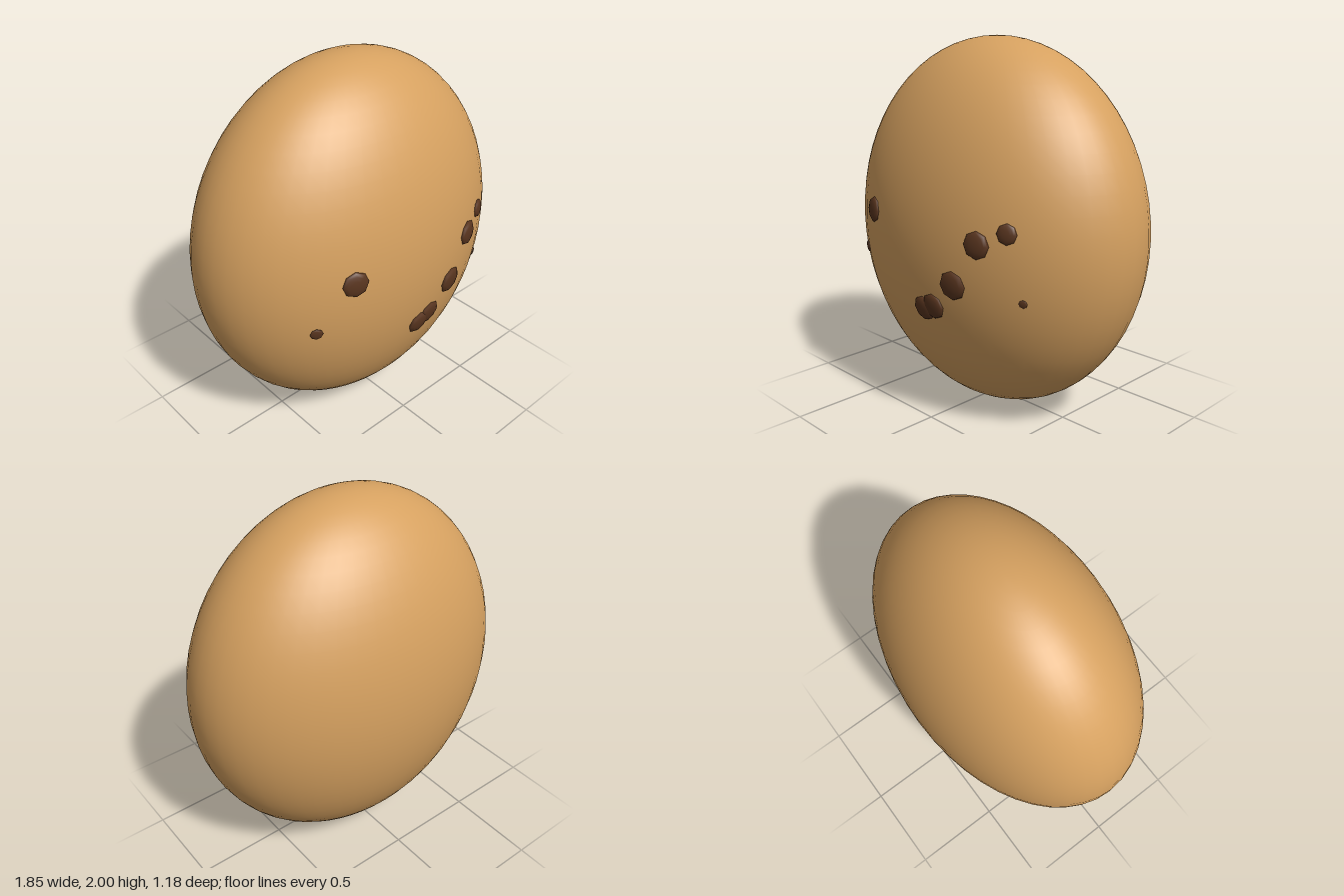
import * as THREE from 'three';

const RX = 0.925, RY = 1, RZ = 0.59;

export function createModel() {
  const model = new THREE.Group();
  const dough = new THREE.MeshStandardMaterial({ color: 0xd6a160 });
  dough.name = 'bakedDough';
  const chocolate = new THREE.MeshStandardMaterial({ color: 0x59351f });
  chocolate.name = 'chocolate';

  // Body: a flattened ball standing on its edge
  const bodyGeometry = new THREE.SphereGeometry(1, 48, 32);
  bodyGeometry.scale(RX, RY, RZ);
  const body = new THREE.Mesh(bodyGeometry, dough);
  body.name = 'cookieBody';
  body.position.y = RY;
  model.add(body);

  // Chips half sunk into the front: x, y, radius, height above the surface
  const chips = [
    [-0.41, 1.085, 0.07, 0.022],
    [-0.59, 0.83, 0.034, 0.01],
    [0.025, 0.64, 0.068, 0.024],
    [0.1, 0.668, 0.07, 0.022],
    [0.25, 0.812, 0.076, 0.024],
    [0.395, 1.038, 0.07, 0.024],
    [0.54, 1.107, 0.052, 0.018],
    [0.602, 0.772, 0.022, 0.006],
  ];
  const chipGeometry = new THREE.SphereGeometry(1, 8, 8);
  chipGeometry.rotateX(Math.PI / 2);
  const forward = new THREE.Vector3(0, 0, 1);
  const chipGroup = new THREE.Group();
  chipGroup.name = 'chocolateChips';
  for (const [x, y, radius, height] of chips) {
    const dy = y - RY;
    const z = RZ * Math.sqrt(1 - (x / RX) ** 2 - (dy / RY) ** 2);
    const normal = new THREE.Vector3(x / RX ** 2, dy / RY ** 2, z / RZ ** 2).normalize();
    const chip = new THREE.Mesh(chipGeometry, chocolate);
    chip.name = 'chocolateChip';
    chip.position.set(x, y, z);
    chip.quaternion.setFromUnitVectors(forward, normal);
    chip.scale.set(radius, radius, height);
    chipGroup.add(chip);
  }
  model.add(chipGroup);
  return model;
}
